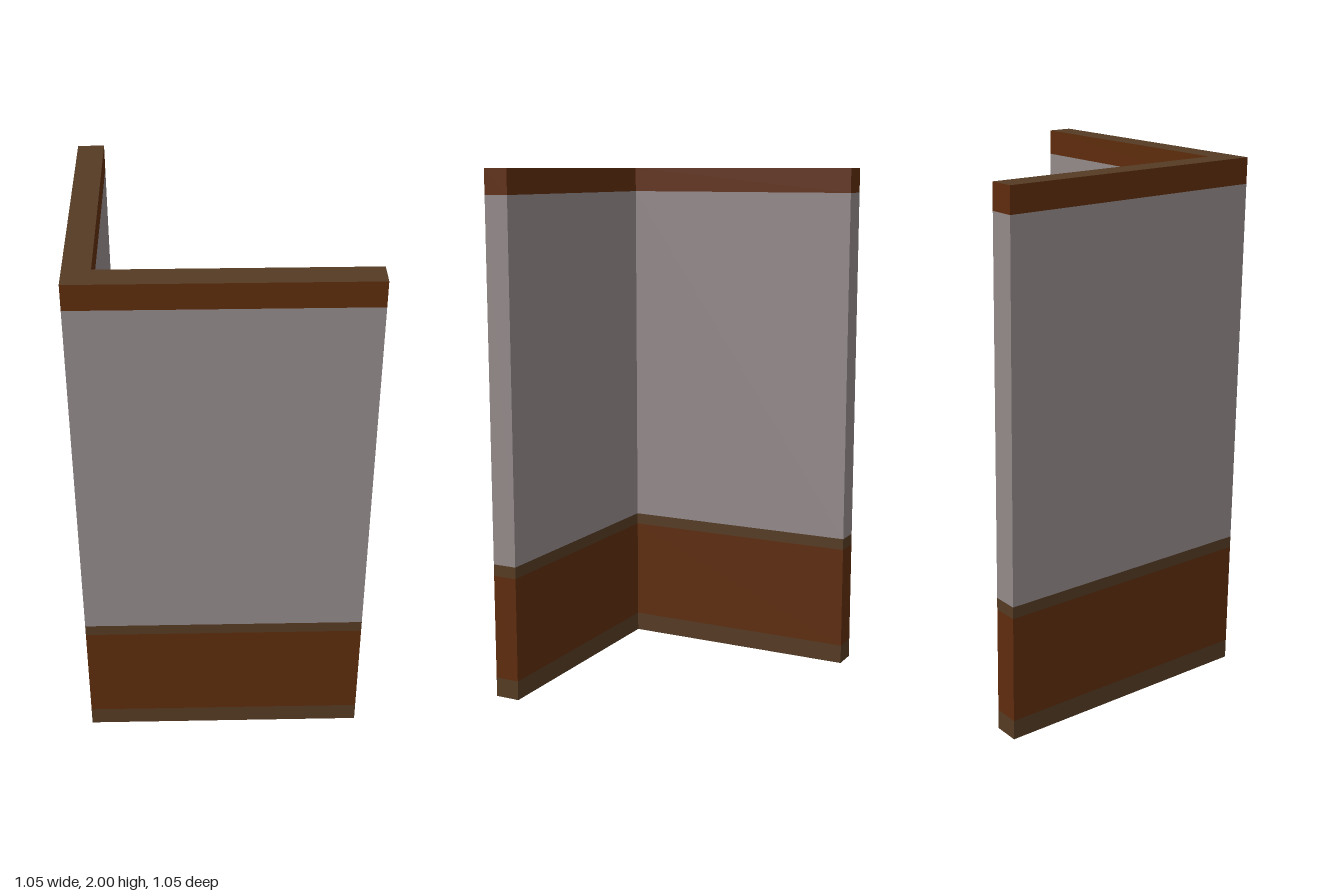
import * as THREE from 'three';

const HALF = 0.523; // half of the footprint
const INNER = 0.426; // inner wall faces

function material(name, color) {
  const m = new THREE.MeshStandardMaterial({ color });
  m.name = name;
  return m;
}

// L-shaped footprint, corner at -x, +z (shape y is -z)
function footprint() {
  return new THREE.Shape([
    new THREE.Vector2(-HALF, -HALF),
    new THREE.Vector2(HALF, -HALF),
    new THREE.Vector2(HALF, -INNER),
    new THREE.Vector2(-INNER, -INNER),
    new THREE.Vector2(-INNER, HALF),
    new THREE.Vector2(-HALF, HALF),
  ]);
}

export function createModel() {
  const group = new THREE.Group();
  group.name = 'cornerWall';

  const darkWood = material('dark wood', 0x553b23);
  const redWood = material('red wood', 0x5e2c0d);
  const plaster = material('grey plaster', 0x938989);

  // Stacked bands: name, bottom, top, cap material, side material
  const bands = [
    ['baseboard', 0, 0.075, darkWood, darkWood],
    ['lowerPanel', 0.075, 0.48, redWood, redWood],
    ['chairRail', 0.48, 0.525, darkWood, darkWood],
    ['upperWall', 0.525, 1.905, plaster, plaster],
    ['topTrim', 1.905, 2, darkWood, redWood],
  ];

  for (const [name, bottom, top, cap, side] of bands) {
    const geometry = new THREE.ExtrudeGeometry(footprint(), { depth: top - bottom, bevelEnabled: false });
    geometry.rotateX(-Math.PI / 2).translate(0, bottom, 0);
    const mesh = new THREE.Mesh(geometry, [cap, side]);
    mesh.name = name;
    group.add(mesh);
  }
  return group;
}
